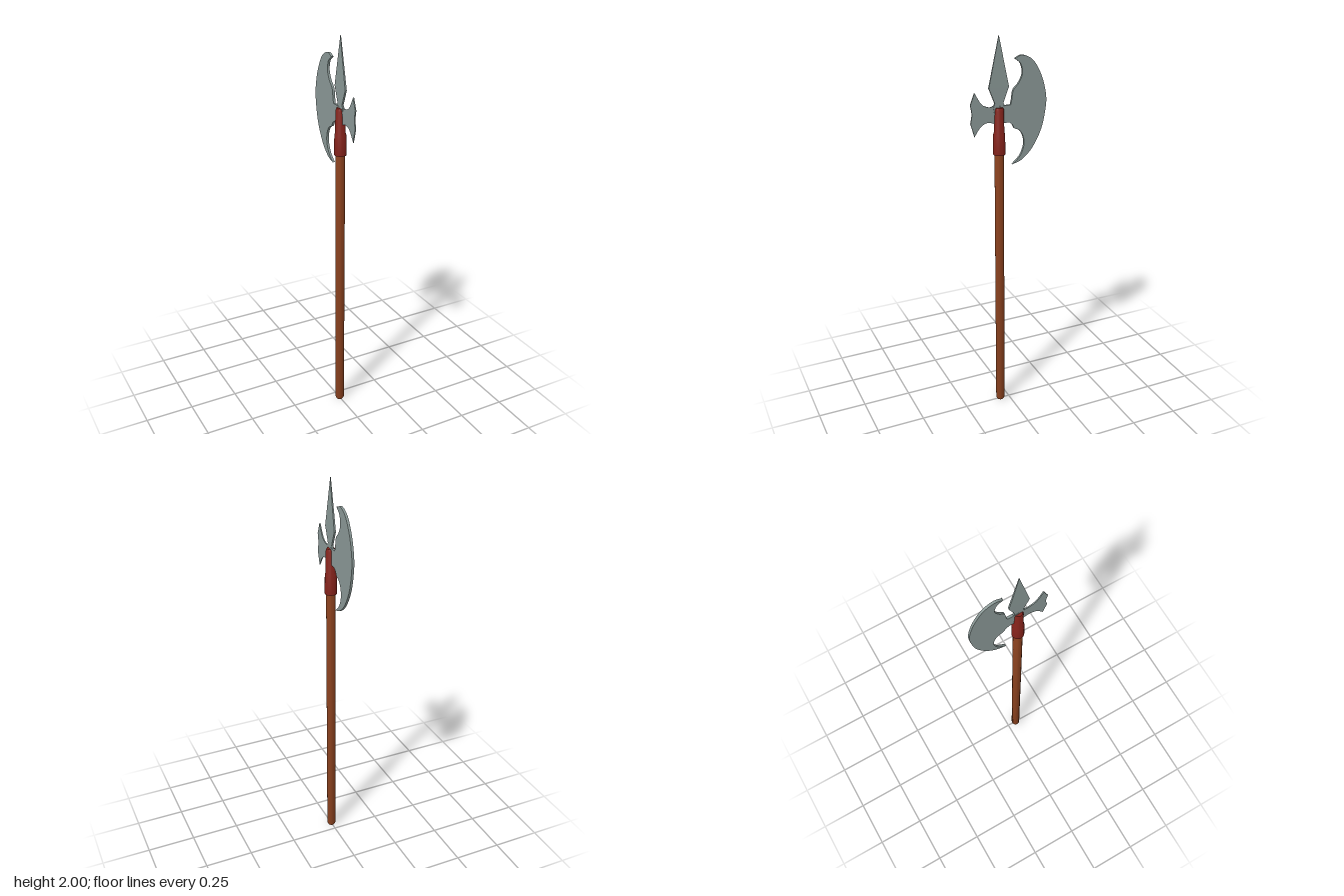
import * as THREE from 'three';
import { toCreasedNormals } from 'three/addons/utils/BufferGeometryUtils.js';

const AXIS_Z = 0.05; // the pole stands slightly forward of centre

const wood = new THREE.MeshStandardMaterial({ color: 0x8f4420 });
const red = new THREE.MeshStandardMaterial({ color: 0x82221a });
const steel = new THREE.MeshStandardMaterial({ color: 0x8a9896 });

// Shape in the (z, y) plane; each run of points is a smooth curve, corners lie between runs
function outline(start, ...runs) {
  const shape = new THREE.Shape();
  shape.moveTo(...start);
  for (const run of runs) {
    if (run.length === 1) shape.lineTo(...run[0]);
    else shape.splineThru(run.map(([z, y]) => new THREE.Vector2(z, y)));
  }
  return shape;
}

// Flat plate standing in the plane x = 0
function plate(name, shape, thickness) {
  const geo = new THREE.ExtrudeGeometry(shape, { depth: thickness, bevelEnabled: false, curveSegments: 20 });
  geo.translate(0, 0, -thickness / 2).rotateY(-Math.PI / 2);
  const mesh = new THREE.Mesh(toCreasedNormals(geo, 0.5), steel);
  mesh.name = name;
  return mesh;
}

// Turned part around the pole axis, from [radius, y] pairs going up
function turned(name, profile, material) {
  const geo = new THREE.LatheGeometry(profile.map(([r, y]) => new THREE.Vector2(r, y)), 24);
  const mesh = new THREE.Mesh(toCreasedNormals(geo, 0.5), material);
  mesh.name = name;
  mesh.position.z = AXIS_Z;
  return mesh;
}

export function createModel() {
  const model = new THREE.Group();
  model.name = 'poleaxe';

  // Pole with a chamfered foot
  model.add(turned('pole', [[0, 0], [0.018, 0], [0.023, 0.012], [0.023, 1.45], [0, 1.45]], wood));

  // Socket: wide lower sleeve, slimmer upper sleeve, chamfered top
  model.add(turned('socket', [
    [0, 1.425], [0.03, 1.425], [0.029, 1.525], [0.025, 1.535],
    [0.024, 1.645], [0.019, 1.658], [0, 1.658],
  ], red));

  // Crescent axe blade at the back
  model.add(plate('axeBlade', outline([0.05, 1.58],
    [[0, 1.58]],
    [[0, 1.58], [-0.017, 1.567], [-0.028, 1.547], [-0.055, 1.533], [-0.075, 1.5], [-0.079, 1.455], [-0.06, 1.405], [-0.02, 1.365]],
    [[-0.02, 1.365], [-0.07, 1.383], [-0.125, 1.437], [-0.172, 1.527], [-0.194, 1.63], [-0.194, 1.7], [-0.17, 1.79], [-0.125, 1.868], [-0.07, 1.897], [-0.03, 1.884]],
    [[-0.03, 1.884], [-0.06, 1.857], [-0.069, 1.81], [-0.05, 1.767], [-0.022, 1.735], [-0.014, 1.69], [-0.008, 1.665]],
    [[0.03, 1.665]],
    [[0.05, 1.665]],
  ), 0.012));

  // Flared fluke at the front
  model.add(plate('fluke', outline([0.05, 1.58],
    [[0.05, 1.67]],
    [[0.078, 1.67]],
    [[0.078, 1.67], [0.1, 1.664], [0.14, 1.684], [0.175, 1.742]],
    [[0.197, 1.685]],
    [[0.197, 1.685], [0.19, 1.64], [0.197, 1.595]],
    [[0.178, 1.53]],
    [[0.178, 1.53], [0.145, 1.575], [0.11, 1.59], [0.078, 1.582]],
  ), 0.006));

  // Leaf-shaped top spike, thinning towards its point
  const spike = plate('topSpike', outline([0.05, 2],
    [[0.103, 1.755]],
    [[0.073, 1.68]],
    [[0.08, 1.66]],
    [[0.07, 1.6]],
    [[0.03, 1.6]],
    [[0.02, 1.66]],
    [[0.029, 1.68]],
    [[0, 1.755]],
  ), 0.009);
  const pos = spike.geometry.attributes.position;
  for (let i = 0; i < pos.count; i++) {
    const t = THREE.MathUtils.clamp((pos.getY(i) - 1.755) / 0.245, 0, 1);
    pos.setX(i, pos.getX(i) * (1 - 0.6 * t));
  }
  spike.geometry.computeVertexNormals();
  model.add(spike);

  return model;
}
